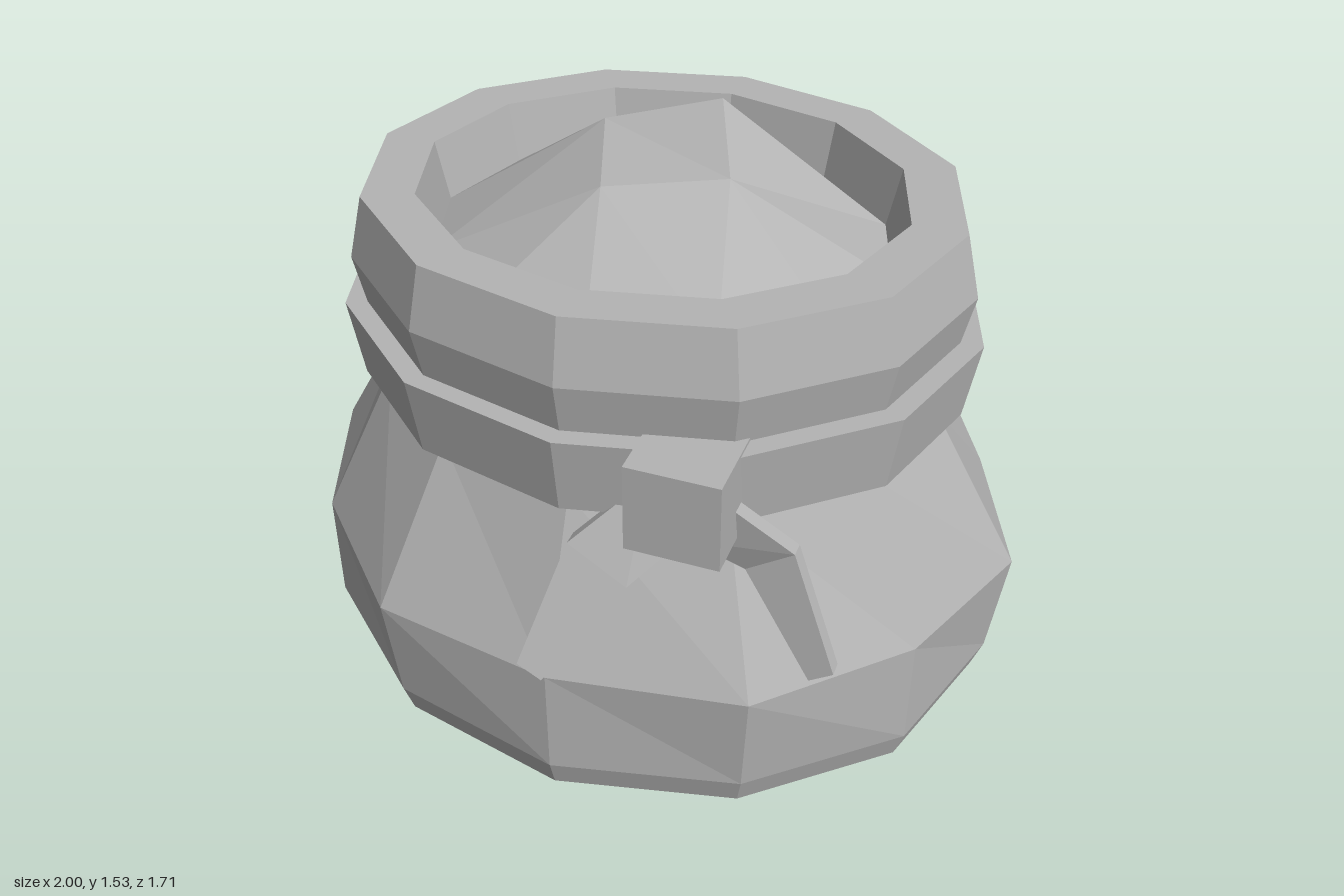
import * as THREE from 'three';

const DEPTH = 0.866; // the sack is oval, shallower front to back
const SHIFT = -0.025;
const SIDES = 12;

const cloth = new THREE.MeshStandardMaterial({ color: 0xb4b4b4 });
cloth.name = 'grey cloth';

// Faceted mesh with one normal per face
function facet(name, geometry) {
  const g = geometry.index ? geometry.toNonIndexed() : geometry;
  g.computeVertexNormals();
  const mesh = new THREE.Mesh(g, cloth);
  mesh.name = name;
  return mesh;
}

// Twelve-sided oval ring shape from a [radius, height] profile
function ovalLathe(profile) {
  const g = new THREE.LatheGeometry(profile.map(([r, y]) => new THREE.Vector2(r, y)), SIDES);
  return g.scale(1, 1, DEPTH).translate(0, 0, SHIFT);
}

// Bulging lower sack; every second corner of the widest ring is drawn in
function sackBody() {
  const profile = [[0, 0], [0.93, 0], [0.96, 0.085], [1, 0.4], [0.75, 0.84], [0.75, 0.9]];
  const g = ovalLathe(profile);
  const p = g.attributes.position;
  for (let i = 0; i < p.count; i++) {
    const side = Math.floor(i / profile.length);
    if (i % profile.length === 3 && side % 2 === 0) {
      p.setX(i, p.getX(i) * 0.962);
      p.setZ(i, (p.getZ(i) - SHIFT) * 0.962 + SHIFT);
    }
  }
  return g;
}

// Uneven mound: four peaks, each fanned to a quarter of the rim
function moundGeometry() {
  const peaks = [[0.2, 1.435, 0.04], [0.1, 1.53, -0.195], [-0.2, 1.45, -0.14], [-0.09, 1.423, 0.165]];
  const rim = (j) => {
    const a = (j / SIDES) * Math.PI * 2;
    return [0.605 * Math.sin(a), 1.2, 0.605 * DEPTH * Math.cos(a) + SHIFT];
  };
  const pos = [];
  const tri = (a, b, c) => pos.push(...a, ...b, ...c);
  peaks.forEach((peak, i) => {
    const start = 1 + i * 3;
    for (let j = start; j < start + 3; j++) tri(rim(j), rim(j + 1), peak);
    tri(rim(start + 3), peaks[(i + 1) % 4], peak);
  });
  tri(peaks[0], peaks[1], peaks[2]);
  tri(peaks[0], peaks[2], peaks[3]);
  const g = new THREE.BufferGeometry();
  g.setAttribute('position', new THREE.Float32BufferAttribute(pos, 3));
  return g;
}

// Bent strap through three stations: upper x, y, lower x, y, depth z
function strapEnd(stations) {
  const g = new THREE.BoxGeometry(1, 1, 1, 2, 1, 1);
  const p = g.attributes.position;
  for (let i = 0; i < p.count; i++) {
    const [ux, uy, lx, ly, z] = stations[Math.round(p.getX(i) * 2 + 1)];
    const upper = p.getY(i) > 0;
    p.setXYZ(i, upper ? ux : lx, upper ? uy : ly, z + Math.sign(p.getZ(i)) * 0.02);
  }
  return g;
}

export function createModel() {
  const model = new THREE.Group();
  model.name = 'tiedSack';

  model.add(facet('sackBody', sackBody()));
  model.add(facet('tieBand', ovalLathe([[0.7, 0.84], [0.815, 0.84], [0.85, 1.055], [0.75, 1.055]])));
  model.add(facet('sackCollar', ovalLathe([
    [0.79, 1.05], [0.82, 1.19], [0.78, 1.36], [0.64, 1.36], [0.605, 1.2],
  ])));
  model.add(facet('filling', moundGeometry()));

  // Knot and its two loose ends
  const knot = new THREE.Group();
  knot.name = 'knot';
  const block = new THREE.BoxGeometry(0.235, 0.237, 0.235).translate(0.307, 0.945, 0.63);
  knot.add(facet('knotBlock', block));
  knot.add(facet('rightStrapEnd', strapEnd([
    [-0.05, 0.475, 0.013, 0.44, 0.835],
    [0.035, 0.775, 0.185, 0.68, 0.7],
    [0.2, 0.93, 0.31, 0.8, 0.59],
  ])));
  knot.add(facet('leftStrapEnd', strapEnd([
    [0.31, 0.8, 0.31, 0.8, 0.62].map((v, i) => [0.42, 0.92, 0.31, 0.8, 0.62][i]),
    [0.555, 0.78, 0.435, 0.7, 0.56],
    [0.68, 0.48, 0.62, 0.44, 0.61],
  ])));
  model.add(knot);
  return model;
}
